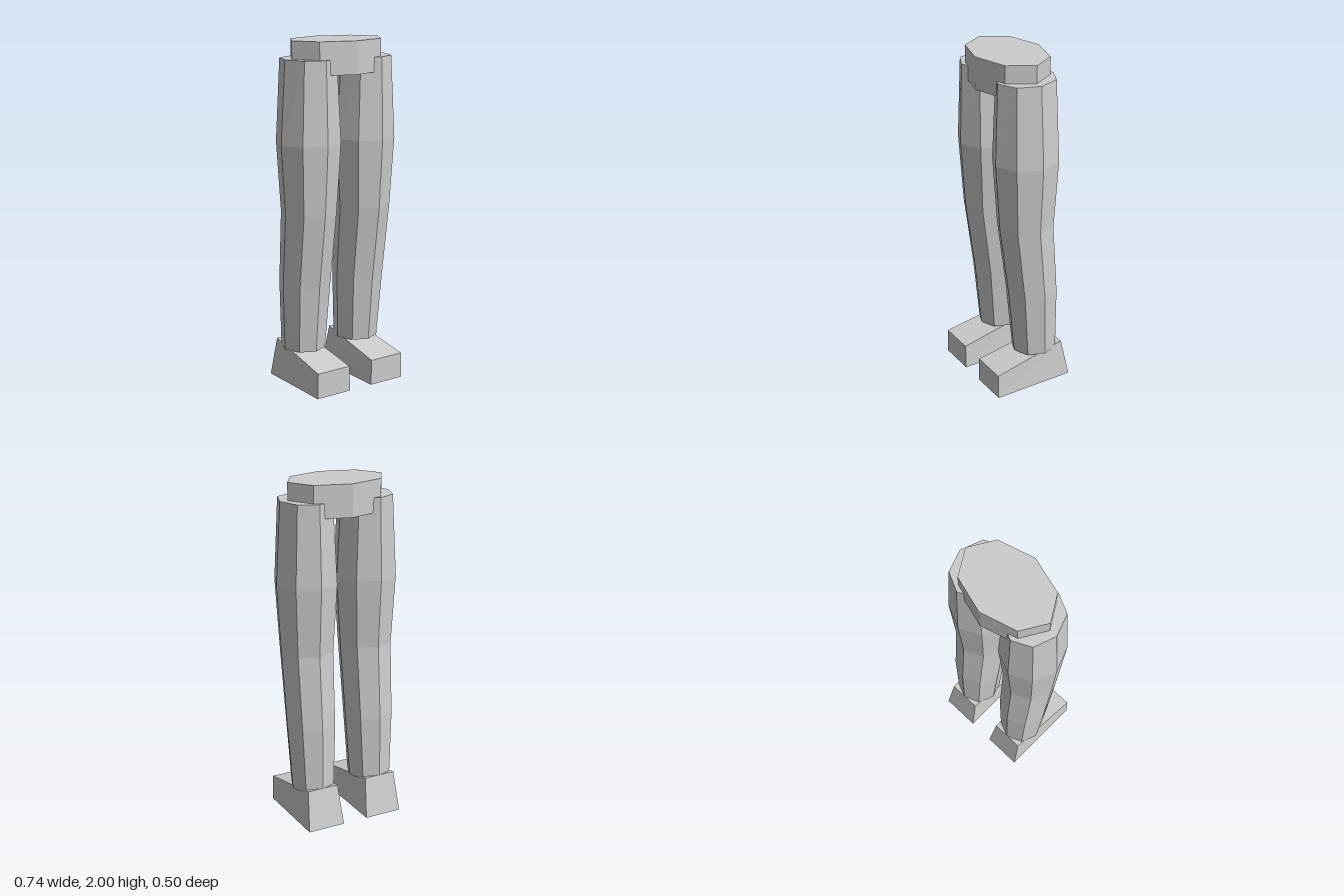
import * as THREE from 'three';

const trouserGrey = new THREE.MeshStandardMaterial({ color: 0xcccccc });
trouserGrey.name = 'light grey';

// Moves every vertex by a rule and gives the result faceted normals
function shaped(geometry, rule) {
  const g = geometry.toNonIndexed();
  const p = g.attributes.position;
  const v = new THREE.Vector3();
  for (let i = 0; i < p.count; i++) {
    rule(v.fromBufferAttribute(p, i));
    p.setXYZ(i, v.x, v.y, v.z);
  }
  g.computeVertexNormals();
  return g;
}

// Leg rings from ankle to hip: height, x radius, z radius, z centre
const RINGS = [
  [0.21, 0.127, 0.136, -0.066],
  [0.6, 0.148, 0.153, -0.046],
  [1.03, 0.157, 0.167, -0.001],
  [1.43, 0.181, 0.193, 0],
  [1.9, 0.152, 0.177, 0.001],
];

function legGeometry() {
  const n = RINGS.length - 1;
  return shaped(new THREE.CylinderGeometry(1, 1, 1, 8, n), (v) => {
    const [y, rx, rz, cz] = RINGS[Math.round((v.y + 0.5) * n)];
    v.set(v.x * rx, y, v.z * rz + cz);
  });
}

// Wedge shoe: low toe, high heel, narrowing upwards
function shoeGeometry() {
  return shaped(new THREE.BoxGeometry(2, 2, 2), (v) => {
    const top = v.y > 0;
    const toe = v.z > 0;
    const halfWidth = !top ? 0.113 : toe ? 0.109 : 0.096;
    v.set(
      v.x * halfWidth,
      !top ? 0 : toe ? 0.15 : 0.235,
      toe ? 0.248 : top ? -0.2 : -0.248
    );
  });
}

export function createModel() {
  const model = new THREE.Group();
  model.name = 'legs';
  const add = (name, geometry, x) => {
    const mesh = new THREE.Mesh(geometry, trouserGrey);
    mesh.name = name;
    mesh.position.x = x;
    model.add(mesh);
  };

  // Pelvis: flattened eight-sided block
  add('pelvis', shaped(new THREE.CylinderGeometry(1, 1, 0.185, 8), (v) => {
    v.set(v.x * 0.295, v.y + 1.9075, v.z * 0.203);
  }), 0);

  // Legs and shoes, left and right
  const leg = legGeometry();
  const shoe = shoeGeometry();
  for (const [side, x] of [['left', 0.189], ['right', -0.189]]) {
    add(side + 'Leg', leg, x);
    add(side + 'Shoe', shoe, x);
  }
  return model;
}
